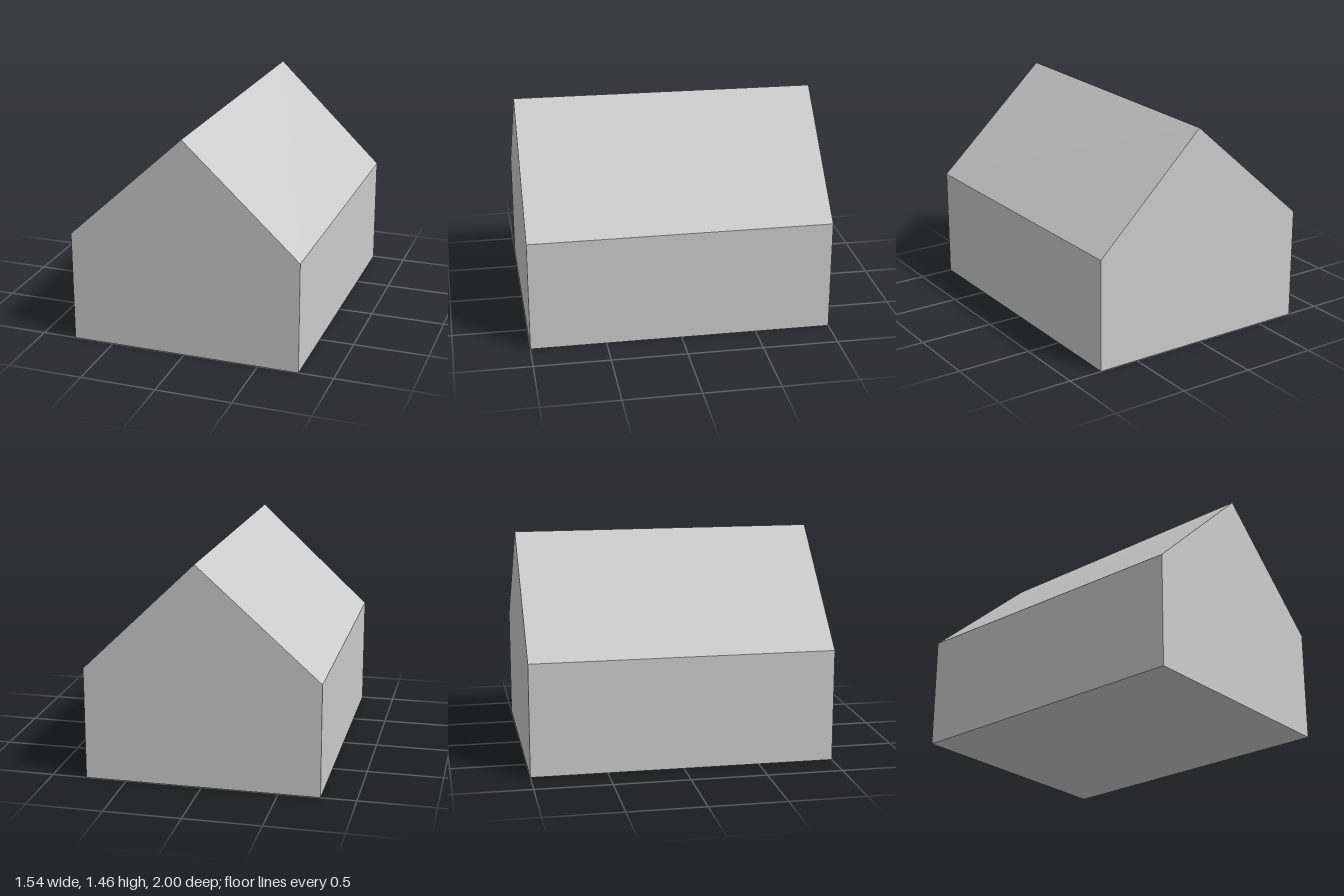
import * as THREE from 'three';

const HALF_WIDTH = 0.77, EAVE = 0.745, RIDGE = 1.46, LENGTH = 2;
const RIDGE_DRIFT = 0.035; // sideways shift of the ridge at the back

export function createModel() {
  const group = new THREE.Group();
  group.name = 'gabledHouse';

  // Gable outline, extruded front to back
  const gable = new THREE.Shape([
    new THREE.Vector2(-HALF_WIDTH, 0),
    new THREE.Vector2(HALF_WIDTH, 0),
    new THREE.Vector2(HALF_WIDTH, EAVE),
    new THREE.Vector2(0, RIDGE),
    new THREE.Vector2(-HALF_WIDTH, EAVE),
  ]);
  const geometry = new THREE.ExtrudeGeometry(gable, { depth: LENGTH, bevelEnabled: false });
  geometry.translate(0, 0, -LENGTH / 2);

  // Skew the ridge slightly towards +x at the back
  const pos = geometry.attributes.position;
  for (let i = 0; i < pos.count; i++) {
    if (pos.getY(i) > RIDGE - 0.01 && pos.getZ(i) < 0) pos.setX(i, RIDGE_DRIFT);
  }
  geometry.computeVertexNormals();

  const body = new THREE.Mesh(
    geometry,
    new THREE.MeshStandardMaterial({ color: 0xcccccc, flatShading: true })
  );
  body.name = 'houseBody';
  group.add(body);
  return group;
}
